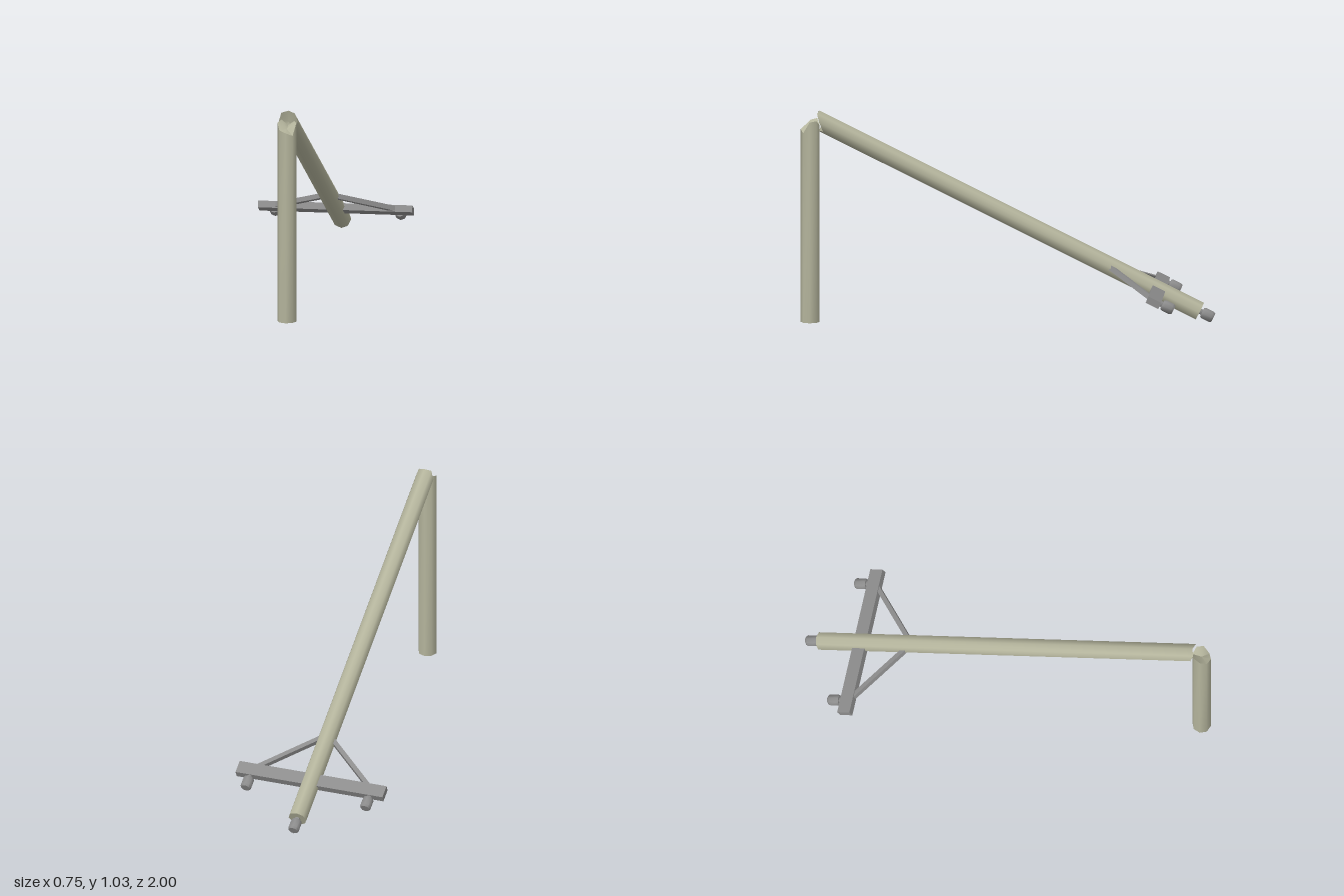
import * as THREE from 'three';
import { toCreasedNormals } from 'three/addons/utils/BufferGeometryUtils.js';

const wood = new THREE.MeshStandardMaterial({ color: 0xb4b49c });
const metal = new THREE.MeshStandardMaterial({ color: 0x8c8c8c });
const RADIUS = 0.0455;

function add(parent, name, geometry, material, x = 0, y = 0, z = 0) {
  const mesh = new THREE.Mesh(geometry, material);
  mesh.name = name;
  mesh.position.set(x, y, z);
  parent.add(mesh);
  return mesh;
}

// Eight-sided log from y = 0 whose splintered top has one height per corner
function brokenLog(heights, centreHeight) {
  const geo = new THREE.CylinderGeometry(RADIUS, RADIUS, 1, 8).translate(0, 0.5, 0);
  const p = geo.attributes.position;
  for (let i = 0; i < p.count; i++) {
    if (p.getY(i) < 0.5) continue;
    const x = p.getX(i), z = p.getZ(i);
    const corner = (Math.round(Math.atan2(x, z) / (Math.PI / 4)) + 8) % 8;
    p.setY(i, Math.hypot(x, z) < 0.001 ? centreHeight : heights[corner]);
  }
  return toCreasedNormals(geo, 0.9);
}

// Insulator with a thin neck towards +y
function insulatorGeometry() {
  const profile = [[0, -0.03], [0.022, -0.03], [0.028, -0.02], [0.028, 0.018],
    [0.023, 0.03], [0.014, 0.03], [0.014, 0.045], [0, 0.045]];
  const geo = new THREE.LatheGeometry(profile.map(([r, y]) => new THREE.Vector2(r, y)), 8);
  return toCreasedNormals(geo, 0.9);
}

export function createModel() {
  const model = new THREE.Group();
  model.name = 'brokenUtilityPole';

  // Standing stump; corners run from the front round by the left side
  const stump = [0.94, 0.925, 0.98, 0.985, 0.96, 0.99, 0.98, 0.95];
  add(model, 'stump', brokenLog(stump, 0.95), wood, 0, 0, 0.955);

  // Fallen part: local y runs from the tip up to the break, local z faces down
  const fallen = new THREE.Group();
  fallen.name = 'fallenPole';
  fallen.position.set(0, 0.07, -0.925);
  fallen.rotation.x = 1.11;
  model.add(fallen);

  // Break is nearly upright in place, with small splinters
  const splinters = [0.005, -0.02, 0, 0.012, 0, 0.012, 0, -0.012];
  const ends = splinters.map((s, i) =>
    2.048 - 0.497 * RADIUS * Math.cos(i * Math.PI / 4) + s);
  add(fallen, 'fallenLog', brokenLog(ends, 2.03), wood);

  const armY = 0.226;
  add(fallen, 'crossarm', new THREE.BoxGeometry(0.75, 0.067, 0.034), metal, 0, armY, 0);

  const insulator = insulatorGeometry();
  add(fallen, 'tipInsulator', insulator, metal, 0, -0.042, 0);

  for (const side of [-1, 1]) {
    const label = side > 0 ? 'left' : 'right';
    add(fallen, label + 'Insulator', insulator, metal, side * 0.305, armY - 0.073, 0);

    // Diagonal brace from the crossarm to the pole
    const from = new THREE.Vector2(side * 0.285, 0.25);
    const to = new THREE.Vector2(side * 0.02, 0.485);
    const d = to.clone().sub(from);
    const brace = add(fallen, label + 'Brace', new THREE.BoxGeometry(0.022, d.length(), 0.024),
      metal, (from.x + to.x) / 2, (from.y + to.y) / 2, 0);
    brace.rotation.z = Math.atan2(-d.x, d.y);
  }
  return model;
}
